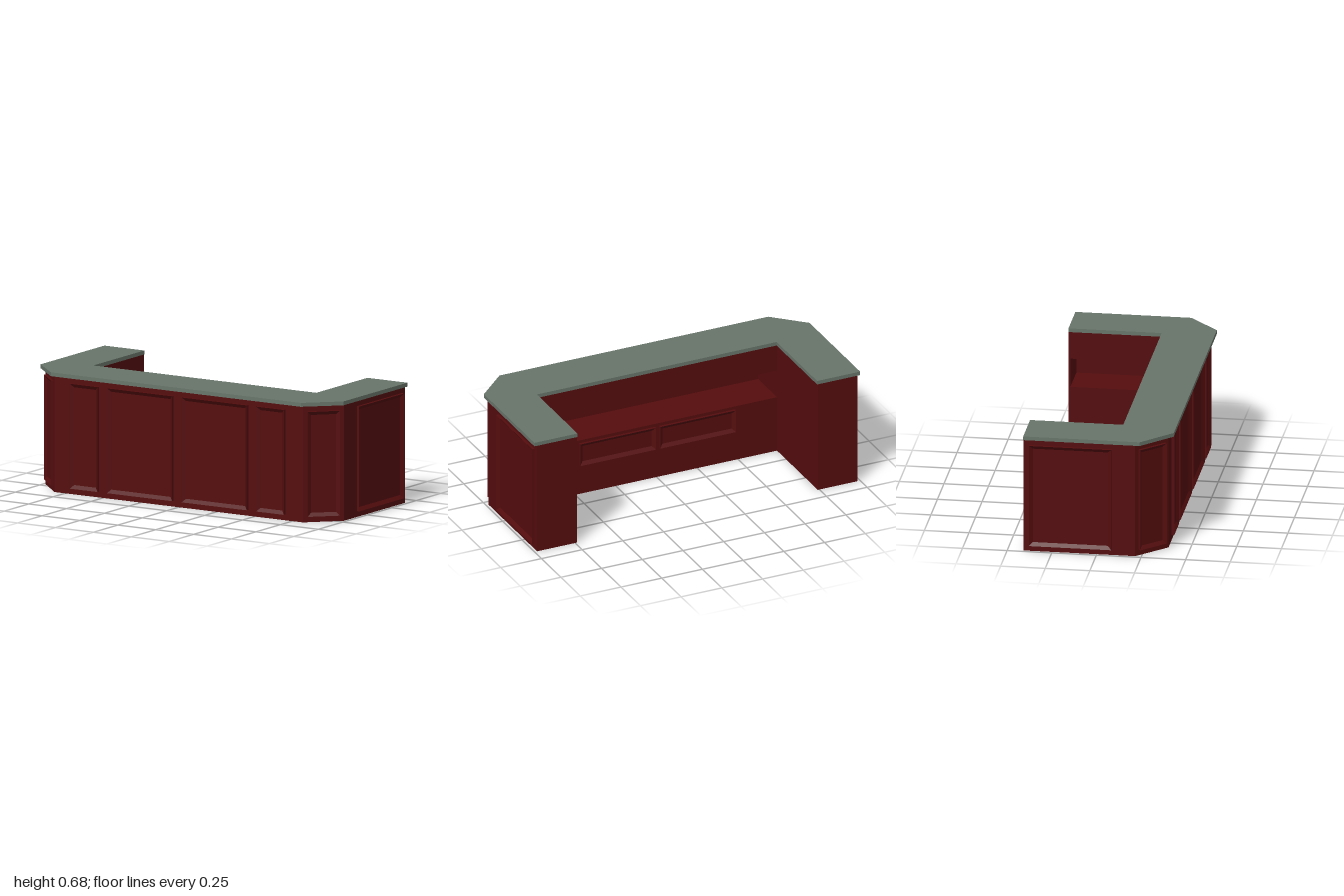
import * as THREE from 'three';

const wood = new THREE.MeshStandardMaterial({ color: 0x550d0e });
wood.name = 'dark red wood';
const stone = new THREE.MeshStandardMaterial({ color: 0x68756a });
stone.name = 'grey green worktop';

// Horizontal slab: outline given as [x, z] points, from y0 to y1
function slab(name, points, y0, y1, material) {
  const shape = new THREE.Shape(points.map(([x, z]) => new THREE.Vector2(x, -z)));
  const geo = new THREE.ExtrudeGeometry(shape, { depth: y1 - y0, bevelEnabled: false });
  geo.rotateX(-Math.PI / 2).translate(0, y0, 0);
  const mesh = new THREE.Mesh(geo, material);
  mesh.name = name;
  return mesh;
}

// Rectangular moulding facing +z: upright outer edge, face sloping inward to the panel
function moulding(name, w, h, depth = 0.016, slope = 0.02) {
  const ring = (inset, z) => [[-1, -1], [1, -1], [1, 1], [-1, 1]]
    .map(([sx, sy]) => [sx * (w / 2 - inset), sy * (h / 2 - inset), z]);
  const rings = [ring(0, 0), ring(0, depth), ring(slope, 0.001)];
  const pos = [];
  for (let r = 0; r < 2; r++) {
    for (let i = 0; i < 4; i++) {
      const j = (i + 1) % 4;
      const a = rings[r][i], b = rings[r][j], c = rings[r + 1][j], d = rings[r + 1][i];
      pos.push(...a, ...b, ...c, ...a, ...c, ...d);
    }
  }
  const geo = new THREE.BufferGeometry();
  geo.setAttribute('position', new THREE.Float32BufferAttribute(pos, 3));
  geo.computeVertexNormals();
  const mesh = new THREE.Mesh(geo, wood);
  mesh.name = name;
  return mesh;
}

export function createModel() {
  const group = new THREE.Group();
  group.name = 'receptionCounter';
  const place = (mesh, x, y, z, turn = 0) => {
    mesh.position.set(x, y, z);
    mesh.rotation.y = turn;
    group.add(mesh);
  };

  // U-shaped cabinet with cut front corners
  const outer = [[-0.984, -0.41], [-0.984, 0.215], [-0.82, 0.378],
    [0.82, 0.378], [0.984, 0.215], [0.984, -0.41]];
  const inner = [[0.74, -0.41], [0.74, 0.115], [-0.74, 0.115], [-0.74, -0.41]];
  // Open shelves behind the front and in the left wing
  const shelfInner = [[0.74, -0.41], [0.74, -0.4], [0.97, -0.4], [0.97, 0.105], [0.74, 0.105],
    [0.74, 0.36], [-0.74, 0.36], [-0.74, -0.41]];
  group.add(slab('lowerCabinet', [...outer, ...inner], 0, 0.333, wood));
  group.add(slab('shelfWalls', [...outer, ...shelfInner], 0.333, 0.5, wood));
  group.add(slab('upperCabinet', [...outer, ...inner], 0.5, 0.658, wood));

  // Worktop
  group.add(slab('worktop', [[-1, -0.41], [-1, 0.242], [-0.825, 0.408], [0.825, 0.408],
    [1, 0.242], [1, -0.41], [0.736, -0.41], [0.736, 0.112], [-0.736, 0.112], [-0.736, -0.41]],
  0.658, 0.68, stone));

  // Front panels
  const midY = 0.329, tall = 0.592;
  for (const [x, w] of [[-0.618, 0.183], [-0.249, 0.43], [0.244, 0.43], [0.612, 0.183]]) {
    place(moulding('frontPanel', w, tall), x, midY, 0.378);
  }

  // Corner and side panels
  for (const s of [-1, 1]) {
    place(moulding('cornerPanel', 0.183, tall), s * 0.902, midY, 0.2965, s * Math.PI / 4);
    place(moulding('sidePanel', 0.461, tall), s * 0.984, midY, -0.148, s * Math.PI / 2);
  }

  // Drawer fronts under the rear shelf
  for (const x of [-0.248, 0.243]) {
    place(moulding('drawerFront', 0.465, 0.135), x, 0.248, 0.115, Math.PI);
  }
  return group;
}
